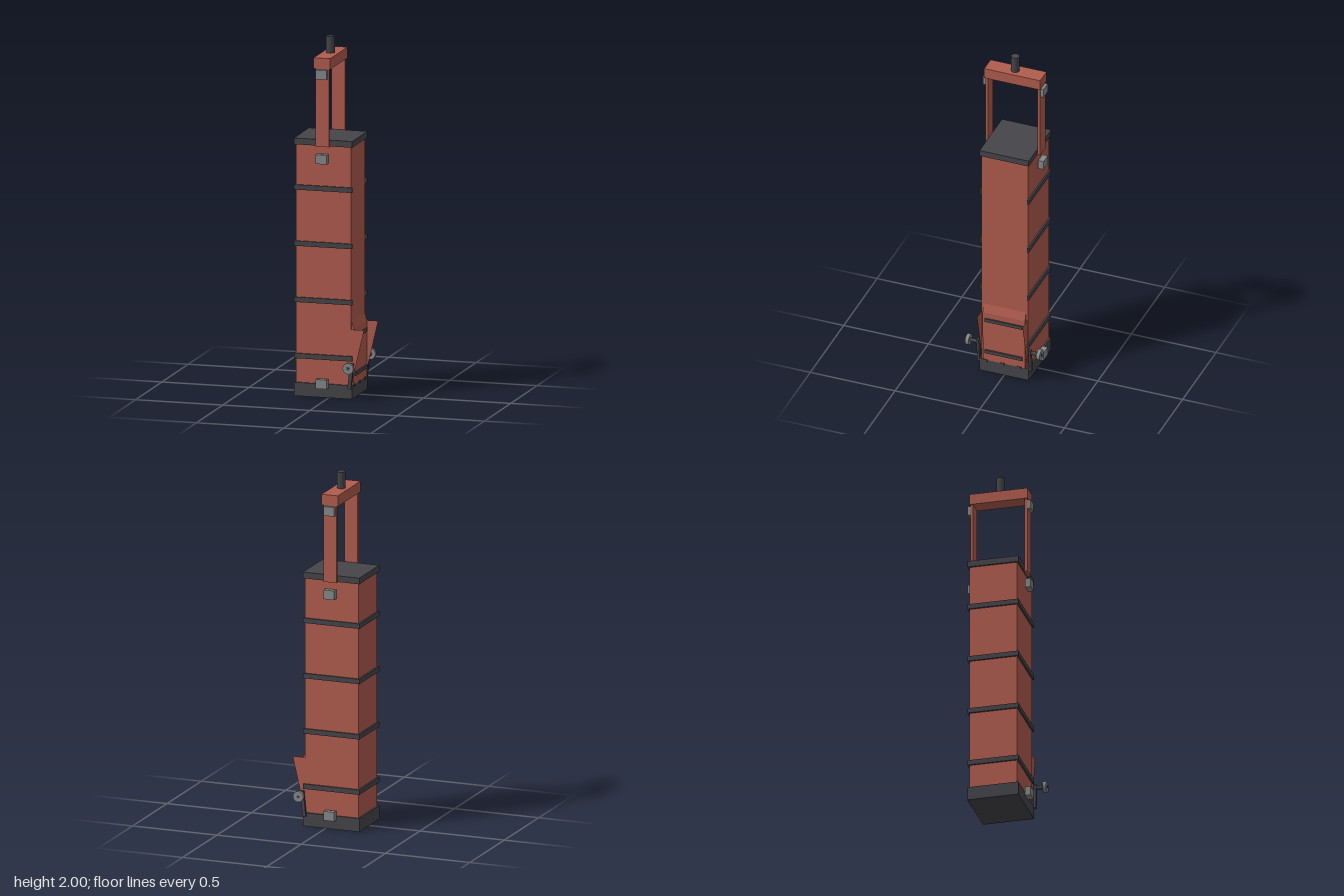
import * as THREE from 'three';

const red = new THREE.MeshStandardMaterial({ color: 0xb05c4e });
red.name = 'brickRed';
const redSheet = new THREE.MeshStandardMaterial({ color: 0xb05c4e, side: THREE.DoubleSide });
redSheet.name = 'brickRedSheet';
const dark = new THREE.MeshStandardMaterial({ color: 0x45454a });
dark.name = 'darkSteel';
const grey = new THREE.MeshStandardMaterial({ color: 0x868889 });
grey.name = 'greySteel';

export function createModel() {
  const model = new THREE.Group();
  model.name = 'skip';

  function add(name, geometry, material, parent = model) {
    const mesh = new THREE.Mesh(geometry, material);
    mesh.name = name;
    parent.add(mesh);
    return mesh;
  }
  // Box given by its limits on each axis
  function box(name, x0, x1, y0, y1, z0, z1, material) {
    const g = new THREE.BoxGeometry(x1 - x0, y1 - y0, z1 - z0);
    g.translate((x0 + x1) / 2, (y0 + y1) / 2, (z0 + z1) / 2);
    return add(name, g, material);
  }
  function cylinderZ(name, r, x, y, z0, z1, sides, material) {
    const g = new THREE.CylinderGeometry(r, r, Math.abs(z1 - z0), sides);
    g.rotateX(Math.PI / 2);
    g.translate(x, y, (z0 + z1) / 2);
    return add(name, g, material);
  }
  // Box on one end, mirrored by side
  function sideBox(name, x0, x1, y0, y1, z0, z1, side, material) {
    const a = z0 * side, b = z1 * side;
    return box(name, x0, x1, y0, y1, Math.min(a, b), Math.max(a, b), material);
  }

  // Tall body with base and lid
  box('body', -0.19, 0.125, 0.07, 1.415, -0.136, 0.136, red);
  box('base', -0.2, 0.135, 0, 0.076, -0.145, 0.145, dark);
  box('lid', -0.2, 0.135, 1.41, 1.445, -0.145, 0.145, dark);

  // Straps round three sides, leaving the chute side clear
  for (const y of [0.225, 0.54, 0.855, 1.17]) {
    const y0 = y - 0.014, y1 = y + 0.014;
    box('strapBack', -0.2, -0.19, y0, y1, -0.145, 0.145, dark);
    for (const s of [-1, 1]) sideBox('strapSide', -0.19, 0.134, y0, y1, 0.136, 0.145, s, dark);
  }

  // Bail with lifting rod
  box('bailCrossbar', -0.08, 0.015, 1.845, 1.906, -0.165, 0.165, red);
  const rod = add('liftingRod', new THREE.CylinderGeometry(0.024, 0.024, 0.095, 24), dark);
  rod.position.set(-0.033, 1.9525, 0);

  // Discharge door with sloping top edge
  const doorProfile = new THREE.Shape([
    [0.124, 0.076], [0.137, 0.076], [0.139, 0.388], [0.124, 0.44],
  ].map(([x, y]) => new THREE.Vector2(x, y)));
  const door = new THREE.ExtrudeGeometry(doorProfile, { depth: 0.25, bevelEnabled: false });
  door.translate(0, 0, -0.125);
  add('door', door, red);
  for (const y of [0.136, 0.342]) {
    box('doorBar', 0.135, 0.147, y - 0.01, y + 0.01, -0.11, 0.11, dark);
  }
  for (const z of [-0.09, 0.01, 0.11]) {
    box('doorHinge', 0.13, 0.14, 0.066, 0.08, z - 0.012, z + 0.012, dark);
  }

  const cheek = new THREE.Shape([
    [0.12, 0.076], [0.127, 0.076], [0.2, 0.388], [0.12, 0.388],
  ].map(([x, y]) => new THREE.Vector2(x, y)));

  for (const s of [-1, 1]) {
    // Bail leg and blocks
    sideBox('bailLeg', -0.071, 0.006, 1.408, 1.85, 0.146, 0.162, s, red);
    for (const y of [0.08, 1.34, 1.815]) {
      sideBox('block', -0.064, -0.001, y - 0.026, y + 0.026, 0.147, 0.179, s, grey);
    }

    // Thin chute cheek
    const plate = add('chuteCheek', new THREE.ShapeGeometry(cheek), redSheet);
    plate.position.z = 0.134 * s;

    // Tilted roller arm, axle and roller
    const arm = add('rollerArm', new THREE.BoxGeometry(0.02, 0.145, 0.014), dark);
    arm.position.set(0.129, 0.13, 0.153 * s);
    arm.rotation.z = -0.1;
    cylinderZ('axle', 0.011, 0.133, 0.185, 0.146 * s, 0.204 * s, 8, dark);
    cylinderZ('roller', 0.031, 0.133, 0.185, 0.2 * s, 0.22 * s, 24, grey);
    cylinderZ('axleEnd', 0.009, 0.133, 0.185, 0.219 * s, 0.222 * s, 8, dark);
  }
  return model;
}
